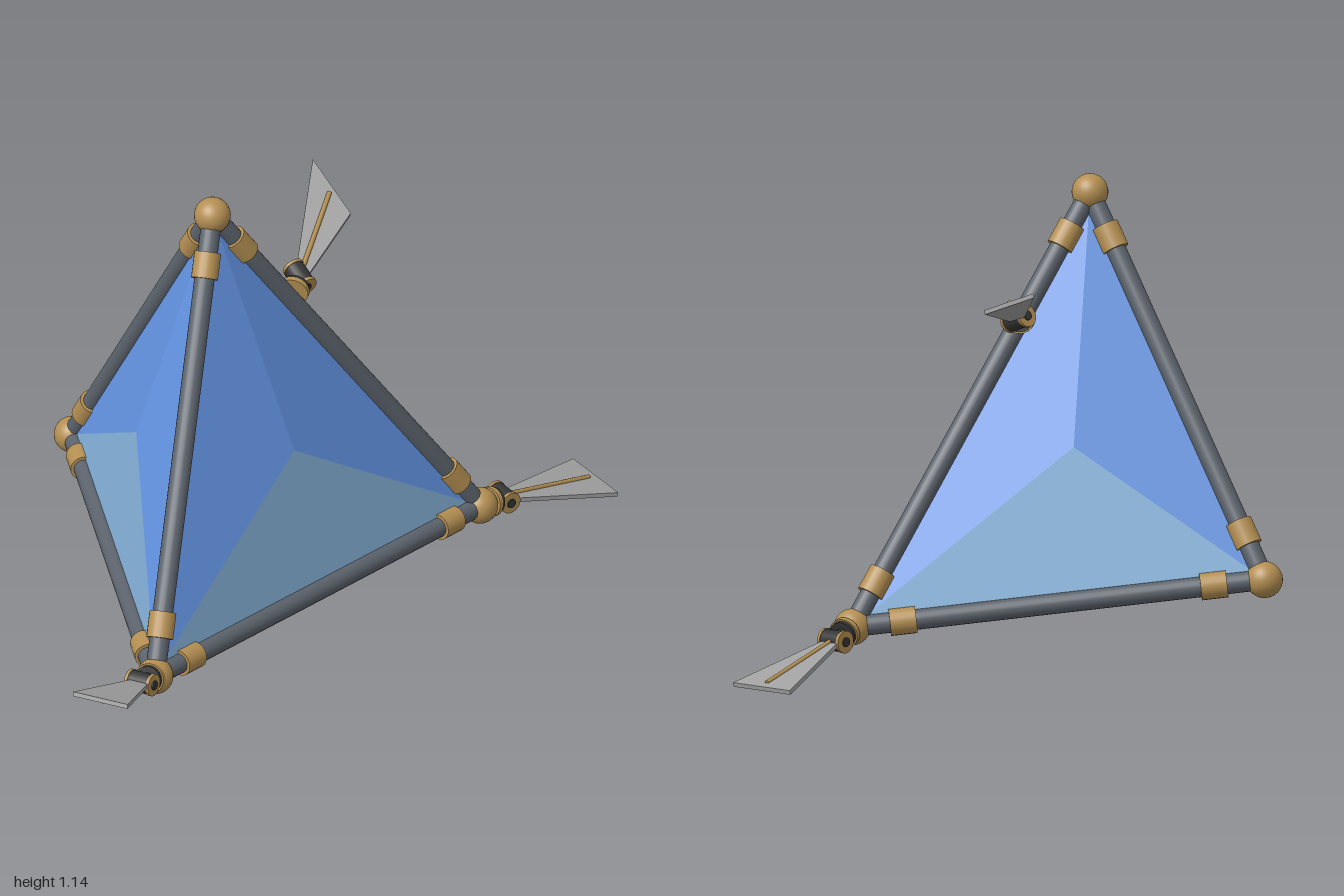
import * as THREE from 'three';

const V = (x, y, z) => new THREE.Vector3(x, y, z);
const UP = V(0, 1, 0);
const mat = (name, color, side = THREE.FrontSide) => {
  const m = new THREE.MeshStandardMaterial({ color, side });
  m.name = name;
  return m;
};

export function createModel() {
  const root = new THREE.Group();
  root.name = 'tetrahedralCraft';
  const brass = mat('brass', 0xb48f52);
  const steel = mat('steel', 0x5c636c);
  const dark = mat('darkMetal', 0x343535);
  const bladeGrey = mat('bladeGrey', 0xa2a2a2);
  const blue = mat('blue', 0x6393e2, THREE.DoubleSide);
  const paleBlue = mat('paleBlue', 0x85b3da, THREE.DoubleSide);

  const add = (parent, name, geometry, material) => {
    const m = new THREE.Mesh(geometry, material);
    m.name = name;
    parent.add(m);
    return m;
  };
  // cylinder of given length centred on a point along a direction
  const rod = (parent, name, centre, dir, length, r, material, sides = 20) => {
    const m = add(parent, name, new THREE.CylinderGeometry(r, r, length, sides), material);
    m.position.copy(centre);
    m.quaternion.setFromUnitVectors(UP, dir.clone().normalize());
    return m;
  };

  // frame corners
  const top = V(-0.055, 1.098, 0.045);
  const left = V(0.575, 0.098, 0.39);
  const right = V(-0.65, 0.167, 0.315);
  const back = V(0.104, 0.207, -0.502);
  const corners = [top, left, right, back];
  for (const c of corners)
    add(root, 'cornerBall', new THREE.SphereGeometry(0.045, 28, 18), brass).position.copy(c);

  // struts with a collar near each end
  for (let i = 0; i < 4; i++)
    for (let j = i + 1; j < 4; j++) {
      const a = corners[i], b = corners[j];
      const d = b.clone().sub(a), len = d.length();
      d.normalize();
      rod(root, 'strut', a.clone().lerp(b, 0.5), d, len, 0.025, steel);
      for (const s of [0.125, len - 0.125])
        rod(root, 'collar', a.clone().addScaledVector(d, s), d, 0.065, 0.033, brass);
    }

  // bulging three-part sails: two blue triangles and a pale base triangle
  const tri = (name, a, b, c, material) => {
    const g = new THREE.BufferGeometry().setFromPoints([a, b, c]);
    g.computeVertexNormals();
    add(root, name, g, material);
  };
  const sail = (apex, a, b, peak) => {
    tri('sailPanel', apex, a, peak, blue);
    tri('sailPanel', b, apex, peak, blue);
    tri('sailBase', a, b, peak, paleBlue);
  };
  sail(top, right, left, V(-0.035, 0.503, 0.28));
  sail(top, left, back, V(0.222, 0.519, -0.042));
  sail(top, back, right, V(-0.232, 0.53, -0.055));
  sail(left, right, back, V(0.05, 0.113, 0.085));

  // hinged paddle: mount, hinge barrel, flared blade and spine
  const paddle = (base, hinge, tipA, tipB) => {
    const g = new THREE.Group();
    g.name = 'paddle';
    root.add(g);
    const arm = hinge.clone().sub(base).normalize();
    const edge = tipB.clone().sub(tipA);
    const axis = edge.clone().normalize();
    const tip = tipA.clone().lerp(tipB, 0.5);
    const dir = tip.clone().sub(hinge).normalize();
    const n = axis.clone().cross(dir).normalize();
    const along = (s) => hinge.clone().addScaledVector(arm, s);

    rod(g, 'mountPlate', along(-0.052), arm, 0.014, 0.038, brass);
    rod(g, 'mountDisc', along(-0.04), arm, 0.012, 0.034, dark);
    rod(g, 'mountNeck', along(-0.02), arm, 0.04, 0.018, dark);
    rod(g, 'hingeBarrel', hinge, axis, 0.056, 0.026, dark);
    for (const s of [-1, 1]) {
      const at = (k) => hinge.clone().addScaledVector(axis, s * k);
      rod(g, 'hingeCap', at(0.031), axis, 0.008, 0.028, brass);
      rod(g, 'hingePin', at(0.036), axis, 0.005, 0.012, dark, 12);
    }

    // box flared from the hinge to the tip corners
    const start = hinge.clone().addScaledVector(dir, 0.022);
    const narrow = 0.05 / edge.length();
    const geo = new THREE.BoxGeometry(1, 1, 1);
    const p = geo.attributes.position;
    for (let i = 0; i < p.count; i++) {
      const u = p.getX(i) + 0.5;
      const v = start.clone().lerp(tip, u)
        .addScaledVector(edge, p.getZ(i) * (narrow + (1 - narrow) * u))
        .addScaledVector(n, p.getY(i) * 0.011);
      p.setXYZ(i, v.x, v.y, v.z);
    }
    geo.computeVertexNormals();
    add(g, 'blade', geo, bladeGrey);

    const reach = tip.distanceTo(start) * 0.92;
    const mid = start.clone().addScaledVector(dir, reach / 2).addScaledVector(n, 0.006);
    rod(g, 'bladeSpine', mid, dir, reach, 0.006, brass, 10);
  };
  paddle(left, V(0.665, 0.08, 0.393), V(0.997, 0.014, 0.358), V(0.94, 0.008, 0.538));
  paddle(right, V(-0.727, 0.191, 0.333), V(-0.998, 0.284, 0.325), V(-0.985, 0.297, 0.482));
  paddle(top.clone().lerp(left, 0.29), V(0.208, 0.823, 0.115),
    V(0.502, 0.95, -0.066), V(0.44, 0.883, 0.096));

  return root;
}
